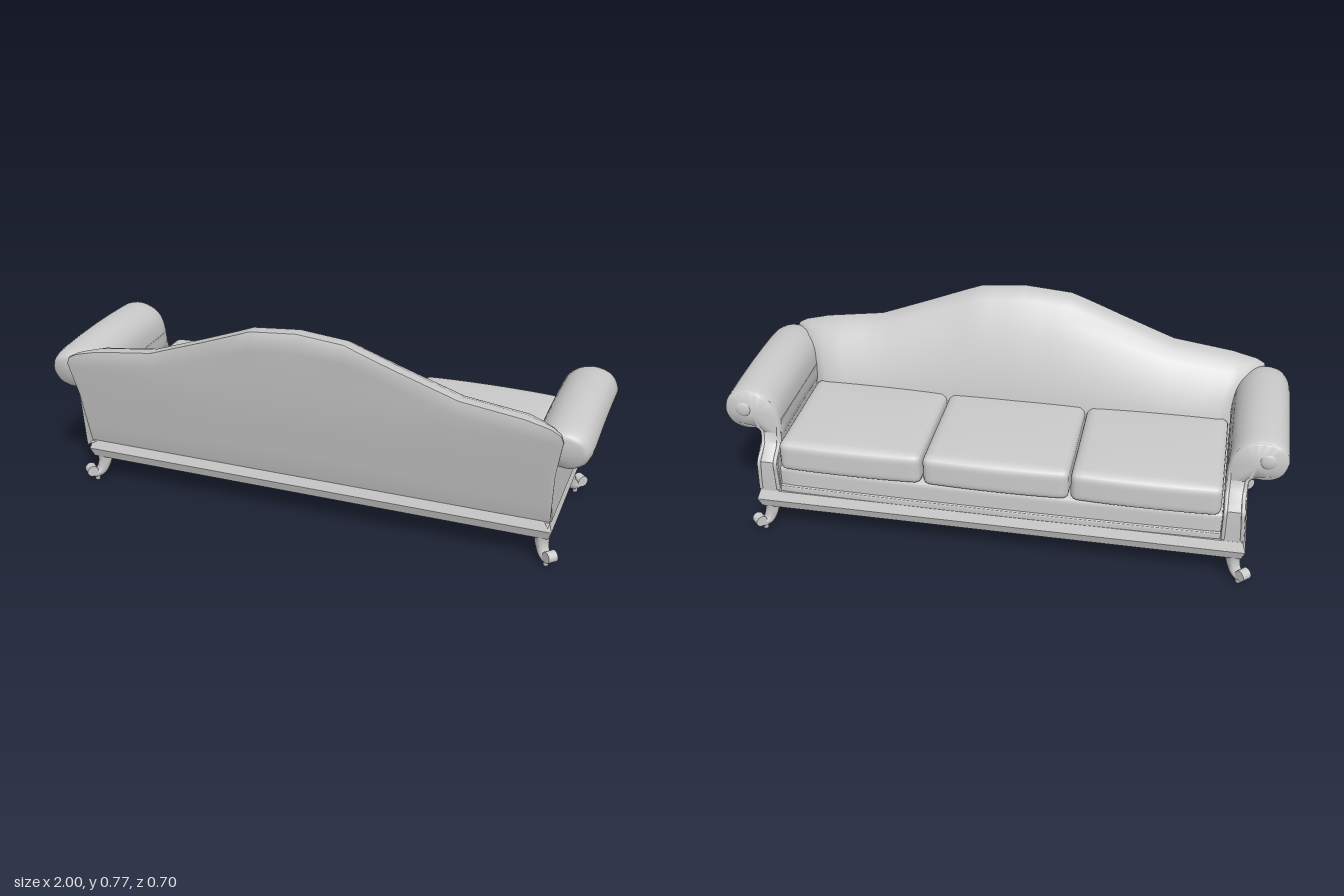
import * as THREE from 'three';
import { toCreasedNormals, mergeVertices } from 'three/addons/utils/BufferGeometryUtils.js';

const material = new THREE.MeshStandardMaterial({ color: 0xcccccc });
const V = (x, y, z) => new THREE.Vector3(x, y, z);

// Linear lookup in a small table of [key, value] pairs
function lookup(table, k) {
  if (k <= table[0][0]) return table[0][1];
  for (let i = 1; i < table.length; i++) {
    const [a, va] = table[i - 1], [b, vb] = table[i];
    if (k <= b) return va + (vb - va) * (k - a) / (b - a);
  }
  return table[table.length - 1][1];
}

// Closed solid through a row of equal-length rings, with end caps facing outward
function loft(rings, crease = 0.7) {
  const n = rings[0].length, pts = rings.flat(), tris = [];
  for (let i = 0; i < rings.length - 1; i++) for (let j = 0; j < n; j++) {
    const a = i * n + j, b = i * n + (j + 1) % n;
    tris.push([a, b, b + n], [a, b + n, a + n]);
  }
  [0, rings.length - 1].forEach((r, end) => {
    const c = pts.length;
    pts.push(rings[r].reduce((s, p) => s.add(p), V(0, 0, 0)).divideScalar(n));
    for (let j = 0; j < n; j++) {
      const a = r * n + j, b = r * n + (j + 1) % n;
      tris.push(end ? [c, a, b] : [c, b, a]);
    }
  });
  let volume = 0;
  for (const [a, b, c] of tris) volume += pts[a].dot(pts[b].clone().cross(pts[c]));
  const geo = new THREE.BufferGeometry().setFromPoints(pts);
  geo.setIndex(tris.flatMap(([a, b, c]) => (volume < 0 ? [a, c, b] : [a, b, c])));
  return toCreasedNormals(geo, crease);
}

function add(parent, name, geo, x = 0, y = 0, z = 0) {
  const mesh = new THREE.Mesh(geo, material);
  mesh.name = name;
  mesh.position.set(x, y, z);
  parent.add(mesh);
  return mesh;
}

// Soft block with rounded edges and a crowned top and front
function pillow(w, h, d, r, crown) {
  let geo = new THREE.BoxGeometry(w, h, d, 26, 10, 26);
  geo.deleteAttribute('uv');
  geo.deleteAttribute('normal');
  geo = mergeVertices(geo);
  const p = geo.attributes.position, v = V(0, 0, 0), inner = V(0, 0, 0);
  const lim = V(w / 2 - r, h / 2 - r, d / 2 - r);
  for (let i = 0; i < p.count; i++) {
    v.fromBufferAttribute(p, i);
    const u = 1 - (2 * v.x / w) ** 2, t = 1 - (2 * v.z / d) ** 2;
    const top = v.y > 0 ? 2 * v.y / h : 0, front = v.z < 0 ? -2 * v.z / d : 0;
    inner.copy(v).clamp(lim.clone().negate(), lim);
    v.sub(inner);
    if (v.length() > 0) v.setLength(r);
    v.add(inner);
    v.y += crown * top * Math.sqrt(Math.max(0, u * t));
    v.z -= 0.008 * front * u;
    p.setXYZ(i, v.x, v.y, v.z);
  }
  geo.computeVertexNormals();
  return geo;
}

// Front and rear edges of the arms by height
const ARM_FRONT = [[0.175, -0.315], [0.25, -0.321], [0.305, -0.322], [0.355, -0.268], [0.4, -0.253], [0.44, -0.25]];
const ARM_REAR = [[0.175, 0.238], [0.25, 0.245], [0.4, 0.285], [0.44, 0.29]];
const ARM_OUTER = [[0.175, 0.88], [0.3, 0.874], [0.44, 0.868]];

function makeArm(s) {
  const arm = new THREE.Group();
  arm.name = s > 0 ? 'leftArm' : 'rightArm';

  // Upright side panel with softened corners
  const panel = [0.172, 0.21, 0.25, 0.305, 0.33, 0.355, 0.4, 0.44].map(y => {
    const f = lookup(ARM_FRONT, y), b = lookup(ARM_REAR, y), o = lookup(ARM_OUTER, y), i = 0.795, c = 0.008;
    return [[i + c, f], [o - c, f], [o, f + c], [o, b - c], [o - c, b], [i + c, b], [i, b - c], [i, f + c]]
      .map(([x, z]) => V(s * x, y, z));
  });
  add(arm, 'armPanel', loft(panel));

  // Rolled top sweeping from the inner face over to the outside
  const profile = new THREE.CatmullRomCurve3([[0.8, 0.37], [0.797, 0.45], [0.815, 0.51], [0.86, 0.55], [0.92, 0.56],
    [0.976, 0.538], [1, 0.483], [0.978, 0.43], [0.93, 0.408], [0.885, 0.41], [0.85, 0.38]]
    .map(([x, y]) => V(x, y, 0)), true).getPoints(40).slice(0, 40);
  const stations = [[-0.256, 0.9], [-0.252, 0.96], [-0.24, 1], [-0.2, 1], [-0.1, 1], [0, 1], [0.1, 1], [0.2, 1],
    [0.25, 0.98], [0.275, 0.93], [0.288, 0.85], [0.295, 0.7]];
  add(arm, 'armRoll', loft(stations.map(([z, k]) => profile.map(p => {
    const y = 0.48 + (p.y - 0.48) * k - 0.01 * (z / 0.25) ** 2;
    return V(s * (0.9 + (p.x - 0.9) * k), y, z + Math.max(0, z) * (y - 0.48) * 0.7);
  })), 1));

  // Piping and knob on the scrolled front
  const edge = [[0.87, 0.185], [0.867, 0.25], [0.864, 0.305], [0.862, 0.355], [0.872, 0.405], [0.91, 0.412], [0.958, 0.425],
    [0.982, 0.475], [0.96, 0.525], [0.915, 0.542], [0.86, 0.53], [0.825, 0.5], [0.808, 0.44], [0.804, 0.355],
    [0.804, 0.305], [0.804, 0.25], [0.804, 0.185]].map(([x, y]) => V(s * x, y, lookup(ARM_FRONT, y) + 0.002));
  add(arm, 'armPiping', new THREE.TubeGeometry(new THREE.CatmullRomCurve3(edge), 90, 0.007, 8));
  const knob = add(arm, 'scrollKnob', new THREE.SphereGeometry(0.03, 20, 12), s * 0.93, 0.478, -0.252);
  knob.scale.z = 0.35;
  return arm;
}

// Camel back: height across the width and lean by height
const CREST = [[0, 0.77], [0.17, 0.755], [0.36, 0.683], [0.56, 0.61], [0.78, 0.58], [0.87, 0.557], [0.9, 0.54], [0.91, 0.515]];
const LEAN = [[0.17, 0.24], [0.2, 0.25], [0.4, 0.292], [0.53, 0.318], [0.62, 0.328], [0.73, 0.345], [0.77, 0.342]];
const FOOT = [[0, 0.112], [0.78, 0.125], [0.84, 0.165], [0.88, 0.22], [0.91, 0.28]];
const FACE = [[1, 0.97], [1, 0.78], [0.95, 0.61], [0.82, 0.46], [0.68, 0.34], [0.46, 0.18], [0.22, 0.07], [0, 0]];

function makeBack() {
  const half = [0, 0.06, 0.12, 0.17, 0.22, 0.29, 0.36, 0.43, 0.5, 0.56, 0.63, 0.7, 0.78, 0.81, 0.84, 0.87, 0.89, 0.9, 0.91];
  const xs = [...half.slice(1).reverse().map(x => -x), ...half];
  return loft(xs.map(x => {
    const a = Math.abs(x), h = lookup(CREST, a), foot = lookup(FOOT, a), top = lookup(LEAN, h), ring = [];
    for (const k of [0, 0.05, 0.2, 0.4, 0.6, 0.8, 0.92, 1]) {
      const y = 0.17 + (h - 0.195) * k;
      ring.push([y, lookup(LEAN, y)]);
    }
    for (const [t, f] of FACE) ring.push([0.36 + (h - 0.36) * t, foot + (top - foot) * f]);
    ring.push([0.17, foot]);
    return ring.map(([y, z]) => V(x * (0.963 + 0.037 * THREE.MathUtils.smoothstep(y, 0.4, 0.53)), y, z));
  }), 0.8);
}

// Short curved leg turning out diagonally into a scroll foot
function makeLeg(sx, sz) {
  const leg = new THREE.Group();
  leg.name = (sz > 0 ? 'back' : 'front') + (sx > 0 ? 'Left' : 'Right') + 'Leg';
  const path = new THREE.CatmullRomCurve3([[0, 0.112], [0, 0.085], [0.006, 0.06], [0.02, 0.037], [0.042, 0.03],
    [0.06, 0.043]].map(([u, y]) => V(u, y, 0)));
  const rings = [];
  for (let i = 0; i <= 16; i++) {
    const t = i / 16, p = path.getPoint(t), d = path.getTangent(t), r = 0.029 - 0.014 * t, ring = [];
    for (let j = 0; j < 14; j++) {
      const a = j / 14 * Math.PI * 2, n = Math.cos(a) * r;
      ring.push(V(p.x - d.y * n, p.y + d.x * n, Math.sin(a) * r));
    }
    rings.push(ring);
  }
  add(leg, 'legCurve', loft(rings, 1));
  const scroll = add(leg, 'scrollFoot', new THREE.CylinderGeometry(0.021, 0.021, 0.036, 20), 0.056, 0.045, 0);
  scroll.rotation.x = Math.PI / 2;
  add(leg, 'footPeg', new THREE.CylinderGeometry(0.013, 0.009, 0.028, 12), 0.035, 0.014, 0);
  leg.position.set(sx * 0.848, 0, -0.0375 + sz * 0.247);
  leg.rotation.y = Math.atan2(-sz, sx);
  return leg;
}

export function createModel() {
  const sofa = new THREE.Group();
  sofa.name = 'sofa';

  // Base rail with a pointed edge
  const rail = [[0.105, 0], [0.14, 0.012], [0.176, 0]].map(([y, e]) =>
    [[-1, -1], [1, -1], [1, 1], [-1, 1]].map(([x, z]) => V(x * (0.874 + e), y, -0.0375 + z * (0.278 + e))));
  add(sofa, 'baseRail', loft(rail, 0.3));

  // Seat deck and its lower lip
  add(sofa, 'seatDeck', pillow(1.62, 0.105, 0.5, 0.015, 0), 0, 0.222, -0.05);
  add(sofa, 'deckLip', pillow(1.62, 0.03, 0.52, 0.008, 0), 0, 0.187, -0.05);

  // Three seat cushions
  for (const i of [-1, 0, 1]) {
    add(sofa, 'seatCushion', pillow(0.522, 0.115, 0.475, 0.024, 0.012), i * 0.528, 0.329, -0.079);
  }

  add(sofa, 'backrest', makeBack());
  for (const s of [1, -1]) {
    sofa.add(makeArm(s));
    for (const z of [1, -1]) sofa.add(makeLeg(s, z));
  }
  return sofa;
}
